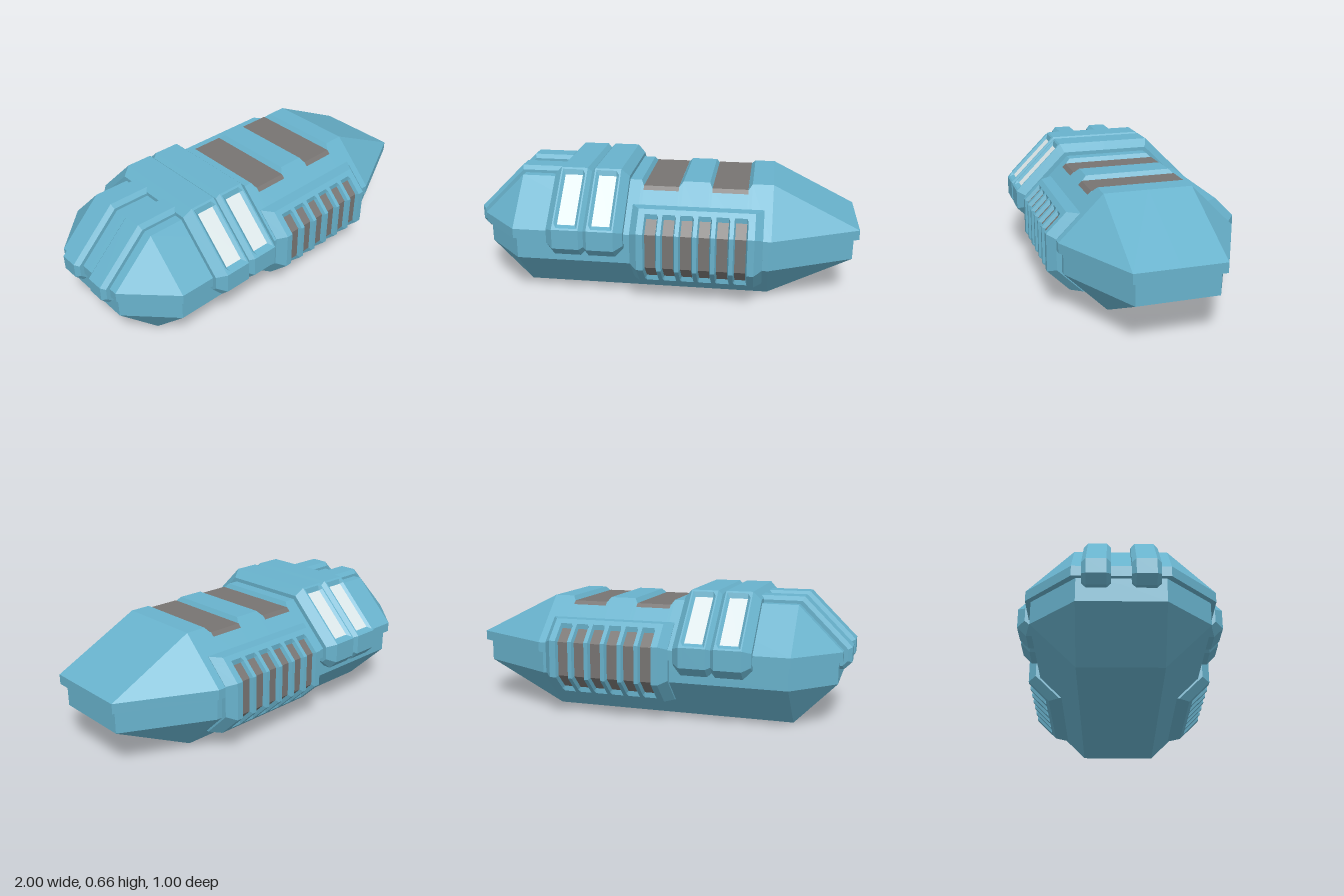
import * as THREE from 'three';

const paint = (color) => new THREE.MeshStandardMaterial({ color, flatShading: true });
const R2 = Math.SQRT2;

// Skin a row of cross-sections. Each section is { x, pts: [[z, y], ...] }, ordered from the top outward and down.
function loft(sections, material, name) {
  const pos = [];
  const tri = (a, b, c) => {
    const area = b.clone().sub(a).cross(c.clone().sub(a)).length();
    if (area > 1e-8) for (const p of [a, b, c]) pos.push(p.x, p.y, p.z);
  };
  const rows = sections.map(({ x, pts }) => pts.map(([z, y]) => new THREE.Vector3(x, y, z)));
  for (let i = 0; i < rows.length - 1; i++) {
    for (let j = 0; j < rows[i].length - 1; j++) {
      const a = rows[i][j], b = rows[i + 1][j], c = rows[i + 1][j + 1], d = rows[i][j + 1];
      tri(a, d, c);
      tri(a, c, b);
    }
  }
  const geometry = new THREE.BufferGeometry();
  geometry.setAttribute('position', new THREE.Float32BufferAttribute(pos, 3));
  geometry.computeVertexNormals();
  const mesh = new THREE.Mesh(geometry, material);
  mesh.name = name;
  return mesh;
}

// Complete a half section across z = 0
const whole = (half) => half.concat(half.map(([z, y]) => [-z, y]).reverse());

// Corners of a chamfered band profile, shrunk by d (k = 0 keeps the flat top and bottom in place)
function corners({ a, top, e, low, bot, k = 1 }, d) {
  const s = a + top - R2 * d, t = e - low - R2 * d;
  const yt = top - k * d, yb = bot + k * d;
  return [[s - yt, yt], [e - d, s - e + d], [e - d, e - d - t], [yb + t, yb]];
}
const mix = (p, q, f) => [p[0] + (q[0] - p[0]) * f, p[1] + (q[1] - p[1]) * f];

// Pair of identical side parts, the second turned half round
function twin(name, x, parts) {
  const pair = new THREE.Group();
  pair.name = name;
  pair.position.x = x;
  [0, Math.PI].forEach((turn, i) => {
    const side = new THREE.Group();
    side.name = name + (i ? 'Right' : 'Left');
    side.rotation.y = turn;
    parts.forEach((p) => side.add(p.clone()));
    pair.add(side);
  });
  return pair;
}

export function createModel() {
  const model = new THREE.Group();
  model.name = 'armouredPod';
  const blue = paint(0x68b2cc), grey = paint(0x777472), pale = paint(0xdde8ea);

  // Upper hull, with two shallow troughs across the roof
  const upper = (drop) => whole([[0, 0.6 - drop], [0.22 + drop, 0.6 - drop], [0.44, 0.38], [0.44, 0.33], [0, 0.33]]);
  const upperTip = whole([[0, 0.38], [0.22, 0.38], [0.22, 0.38], [0.22, 0.33], [0, 0.33]]);
  const point = (y) => whole(Array(5).fill([0, y]));
  const troughs = [[-0.095, 0.085], [0.255, 0.435]];
  const roof = [{ x: -0.74, pts: upper(0) }];
  for (const [l, r] of troughs) {
    roof.push({ x: l - 0.015, pts: upper(0) }, { x: l, pts: upper(0.025) },
      { x: r, pts: upper(0.025) }, { x: r + 0.02, pts: upper(0) });
    const strip = [[-0.264, 0.56], [-0.246, 0.578], [0.246, 0.578], [0.264, 0.56]];
    model.add(loft([{ x: l, pts: strip }, { x: r, pts: strip }], grey, 'roofPanel'));
  }
  roof.push({ x: 0.56, pts: upper(0) });
  model.add(loft([{ x: -0.96, pts: point(0.355) }, { x: -0.96, pts: upperTip }, ...roof,
    { x: 1, pts: upperTip }, { x: 1, pts: point(0.355) }], blue, 'upperHull'));

  // Lower hull
  const keel = whole([[0, 0.34], [0.415, 0.34], [0.415, 0.215], [0.2, 0], [0, 0]]);
  const keelTip = whole([[0, 0.34], [0.2, 0.34], [0.2, 0.215], [0.2, 0.215], [0, 0.215]]);
  model.add(loft([{ x: -0.94, pts: point(0.3) }, { x: -0.94, pts: keelTip }, { x: -0.73, pts: keel },
    { x: 0.55, pts: keel }, { x: 0.975, pts: keelTip }, { x: 0.975, pts: point(0.3) }], blue, 'lowerHull'));

  // Double band over the hull, with a recessed window on each slope
  const band = { a: 0.25, top: 0.66, e: 0.5, low: 0.31, bot: 0.265 };
  const pane = (s) => {
    const [A, B] = corners(band, 0);
    return [0.1, 0.9].map((f) => mix(A, B, f).map((v) => v - s / R2));
  };
  const bandPts = (d, s = 0) => {
    const [A, B, C, D] = corners(band, d);
    const floor = [0.1, 0.9].map((f) => mix(A, B, f).map((v) => v - s / R2));
    return [[0, A[1]], A, mix(A, B, 0.03), ...floor, mix(A, B, 0.97), B, C, D, [0.4, D[1]]];
  };
  const bandRow = [[-0.195, 0.08], [-0.195, 0.04], [-0.155, 0], [-0.1475, 0], [-0.1325, 0, 0.014],
    [-0.0425, 0, 0.014], [-0.0275, 0], [-0.02, 0]];
  const bandAll = [...bandRow, [0, 0.02], ...bandRow.map(([x, ...r]) => [-x, ...r]).reverse()];
  const bandParts = [loft(bandAll.map(([x, d, s]) => ({ x, pts: bandPts(d, s) })), blue, 'bandShell')];
  for (const c of [-0.0875, 0.0875]) {
    bandParts.push(loft([c - 0.045, c + 0.045].map((x) => ({ x, pts: pane(0.0125) })), pale, 'window'));
  }
  model.add(twin('band', -0.365, bandParts));

  // Side vents: a chamfered housing with six recessed slots
  const vent = { a: 0.38, top: 0.5, e: 0.48, low: 0.21, bot: 0.1, k: 0 };
  const slotFloor = (d, s) => {
    const [A, B, C, D] = corners(vent, d);
    const [, b, c] = corners(vent, d + s);
    const n = s / R2;
    const p = mix(A, B, 0.33), q = mix(C, D, 0.69);
    return [[p[0] - n, p[1] - n], b, c, [q[0] - n, q[1] + n]];
  };
  const ventPts = (d, s = 0) => {
    const [A, B, C, D] = corners(vent, d);
    return [[0.3, 0.5], A, mix(A, B, 0.2), ...slotFloor(d, s), mix(C, D, 0.82), D, [0.25, 0.1]];
  };
  const ventRow = [[-0.33, 0.08], [-0.33, 0.04], [-0.29, 0]];
  const ventParts = [];
  for (let i = 0; i < 6; i++) {
    const c = (i - 2.5) * 0.089;
    ventRow.push([c - 0.034, 0], [c - 0.027, 0, 0.02], [c + 0.027, 0, 0.02], [c + 0.034, 0]);
    ventParts.push(loft([c - 0.027, c + 0.027].map((x) => ({ x, pts: slotFloor(0, 0.0185) })), grey, 'ventSlot'));
  }
  ventRow.push([0.29, 0], [0.33, 0.04], [0.33, 0.08]);
  ventParts.push(loft(ventRow.map(([x, d, s]) => ({ x, pts: ventPts(d, s) })), blue, 'ventHousing'));
  model.add(twin('vent', 0.19, ventParts));

  // Two ribs wrapping over the tail
  const rib = { a: 0.76, top: 0.635, e: 1, low: 0.32, bot: 0.283 };
  const ribRow = [[-0.065, 0.06], [-0.065, 0.02], [-0.045, 0], [0.045, 0], [0.065, 0.02], [0.065, 0.06]];
  for (const z of [-0.11, 0.11]) {
    const mesh = loft(ribRow.map(([x, d]) => {
      const c = corners(rib, d);
      return { x, pts: [[0.54, c[0][1]], ...c, [0.9, c[3][1]]] };
    }), blue, 'tailRib');
    mesh.rotation.y = -Math.PI / 2;
    mesh.position.z = z;
    model.add(mesh);
  }
  return model;
}
